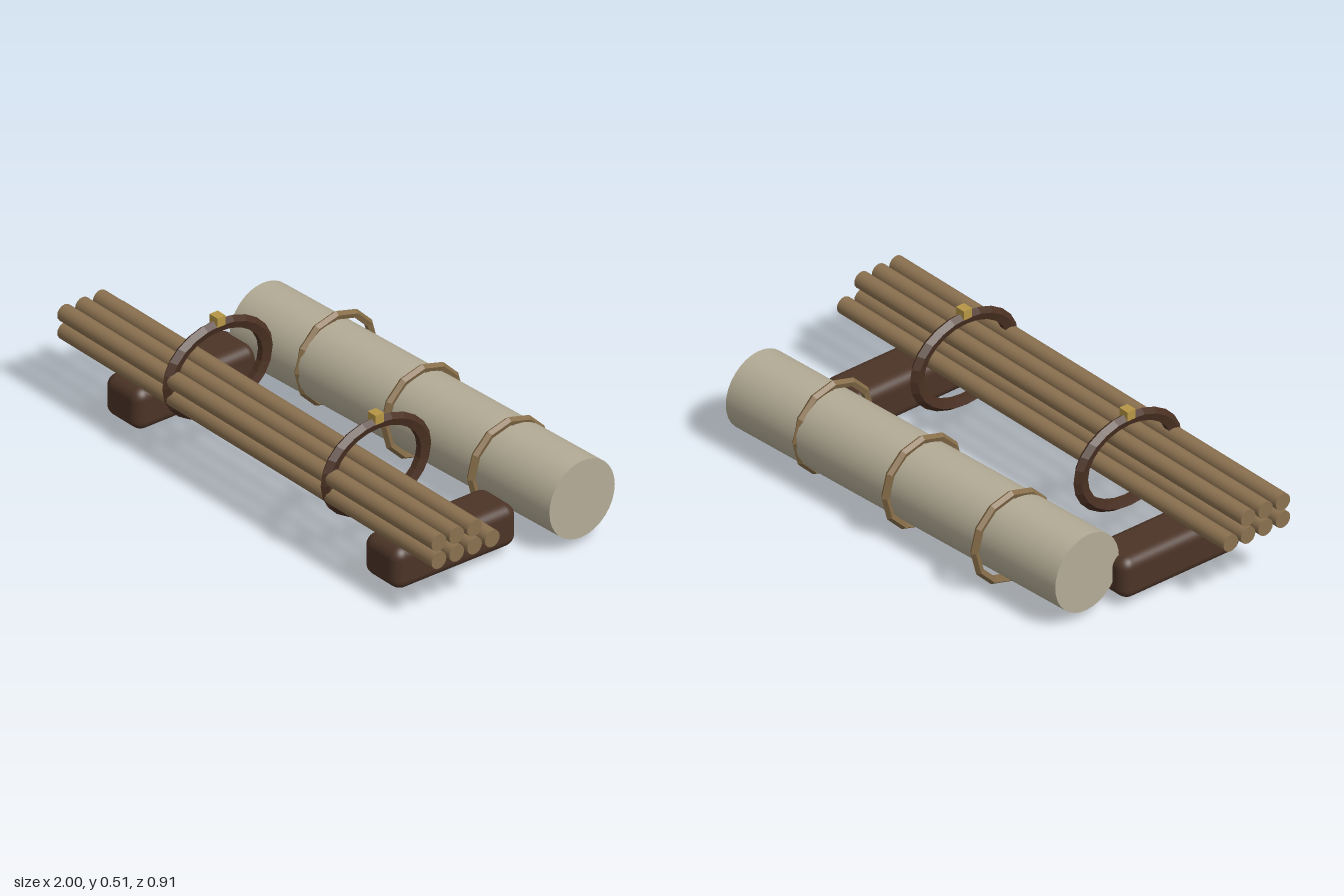
import * as THREE from 'three';
import { RoundedBoxGeometry } from 'three/addons/geometries/RoundedBoxGeometry.js';

const material = (name, color, flatShading = false) => {
  const m = new THREE.MeshStandardMaterial({ color, flatShading });
  m.name = name;
  return m;
};

export function createModel() {
  const model = new THREE.Group();
  model.name = 'bundledPolesAndRoll';

  const poleWood = material('poleWood', 0x8b7150);
  const canvas = material('canvas', 0xb4ac96);
  const rope = material('rope', 0x856c48, true);
  const leather = material('leather', 0x4a3022, true);
  const darkWood = material('darkWood', 0x4c3427);
  const brass = material('brass', 0xb59645);

  const add = (name, geometry, mat, x, y, z) => {
    const mesh = new THREE.Mesh(geometry, mat);
    mesh.name = name;
    mesh.position.set(x, y, z);
    model.add(mesh);
    return mesh;
  };

  // Poles stacked in two rows, four below and three above
  const poleGeo = new THREE.CylinderGeometry(0.032, 0.032, 2, 16).rotateZ(Math.PI / 2);
  [[0.26, 4], [0.329, 3]].forEach(([y, count]) => {
    for (let i = 0; i < count; i++) add('pole', poleGeo, poleWood, 0, y, 0.41 - i * 0.0773);
  });

  // Oval straps with buckles, and the padded blocks under the poles
  const strapGeo = new THREE.TorusGeometry(0.163, 0.023, 5, 24)
    .rotateY(Math.PI / 2).scale(0.95, 1, 1.29);
  const buckleGeo = new THREE.BoxGeometry(0.042, 0.036, 0.036);

  // Blocks narrow slightly towards their ends and edges
  const blockGeo = new RoundedBoxGeometry(0.188, 0.166, 0.535, 5, 0.042);
  const p = blockGeo.attributes.position;
  for (let i = 0; i < p.count; i++) {
    const y = p.getY(i), z = p.getZ(i);
    p.setY(i, y * (1 - 0.06 * (z / 0.2675) ** 4));
    p.setZ(i, z * (1 - 0.02 * (y / 0.083) ** 2));
  }

  for (const side of [-1, 1]) {
    add('strap', strapGeo, leather, side * 0.423, 0.305, 0.215);
    add('buckle', buckleGeo, brass, side * 0.423, 0.49, 0.215);
    add('supportBlock', blockGeo, darkWood, side * 0.692, 0.113, 0.154);
  }

  // Canvas roll lying at a slight angle behind the poles
  const rollGeo = new THREE.CylinderGeometry(0.148, 0.148, 1.612, 32).rotateZ(Math.PI / 2);
  add('canvasRoll', rollGeo, canvas, 0.073, 0.183, -0.27).rotation.y = 0.05;

  // Faceted rope rings around the roll
  const ringGeo = new THREE.TorusGeometry(0.164, 0.016, 5, 12).rotateY(Math.PI / 2);
  for (const x of [-0.387, 0.074, 0.535]) add('ropeRing', ringGeo, rope, x, 0.182, -0.27);

  return model;
}
